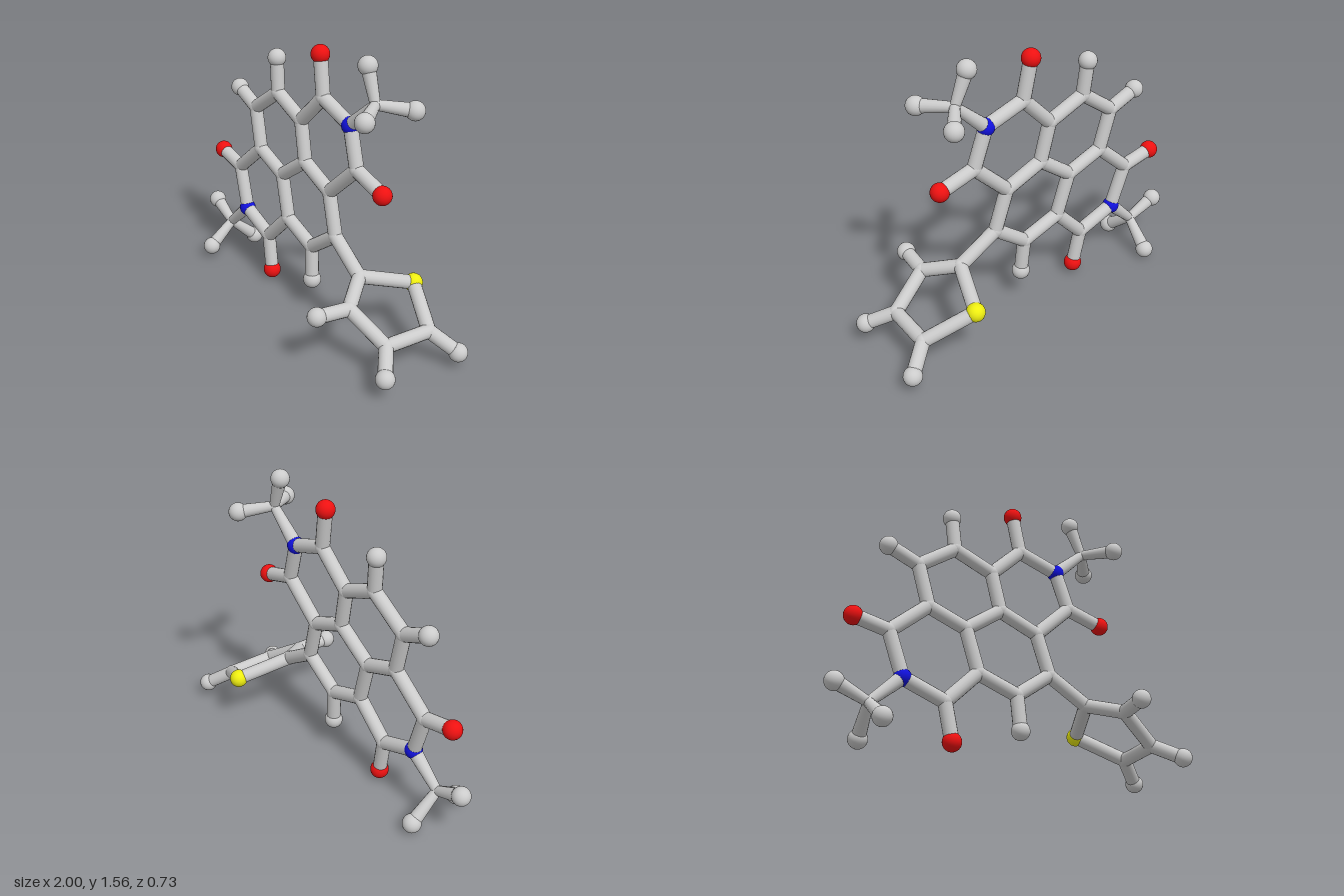
import * as THREE from 'three';

const BALL = 0.05, STICK = 0.038, THIN = 0.026;
const grey = new THREE.MeshStandardMaterial({ color: 0xcccccc });
const red = new THREE.MeshStandardMaterial({ color: 0xee1111 });
const blue = new THREE.MeshStandardMaterial({ color: 0x1111dd });
const yellow = new THREE.MeshStandardMaterial({ color: 0xeeee11 });

// Points of the flat fused rings lie on one slightly tilted plane
const flat = (x, y) => new THREE.Vector3(x, y, -0.052 + 0.041 * x - 0.044 * y);
const at = (x, y, z) => new THREE.Vector3(x, y, z);

const carbons = {
  a: flat(0.07, 1.24), b: flat(0.37, 0.95), c: flat(0.16, 0.75), d: flat(-0.06, 0.84),
  e: flat(-0.11, 1.06), f: flat(-0.33, 1.15), g: flat(-0.54, 1.0), h: flat(-0.48, 0.77),
  i: flat(-0.265, 0.69), j: flat(-0.195, 0.45), k: flat(0.03, 0.37), l: flat(0.23, 0.52),
  m: flat(-0.69, 0.585), o: flat(-0.38, 0.26),
  // side ring
  t1: at(0.45, 0.385, -0.045), t2: at(0.575, 0.32, 0.13),
  t3: at(0.79, 0.187, 0.07), t4: at(0.815, 0.18, -0.2),
};
const methyls = { p: at(0.48, 1.33, -0.087), q: at(-0.78, 0.185, -0.09) };
const nitrogens = { n1: flat(0.3, 1.165), n2: flat(-0.61, 0.345) };
const sulfurs = { s: at(0.57, 0.305, -0.32) };
const oxygens = {
  oa: flat(0.03, 1.46), ob: flat(0.575, 0.89), om: flat(-0.88, 0.625), oo: flat(-0.34, 0.055),
};
const hydrogens = {
  hf: flat(-0.35, 1.34), hg: flat(-0.71, 1.07), hk: flat(0.047, 0.175),
  hp1: at(0.41, 1.505, -0.095), hp2: at(0.6, 1.3, -0.237), hp3: at(0.59, 1.312, 0.077),
  hq1: at(-0.953, 0.263, -0.105), hq2: at(-0.76, 0.047, -0.242), hq3: at(-0.772, 0.068, 0.068),
  ht2: at(0.545, 0.33, 0.313), ht3: at(0.91, 0.11, 0.182), ht4: at(0.945, 0.083, -0.287),
};

const kinds = [
  ['carbonJoint', carbons, STICK + 0.002, grey],
  ['methylJoint', methyls, THIN + 0.003, grey],
  ['nitrogen', nitrogens, 0.047, blue],
  ['sulfur', sulfurs, BALL, yellow],
  ['oxygen', oxygens, BALL, red],
  ['hydrogen', hydrogens, BALL, grey],
];

const bonds = [
  // fused rings
  'a n1', 'n1 b', 'b c', 'c d', 'd e', 'e a', 'e f', 'f g', 'g h', 'h i', 'i d',
  'i j', 'j k', 'k l', 'l c', 'h m', 'm n2', 'n2 o', 'o j',
  // ends on the fused rings
  'a oa', 'b ob', 'm om', 'o oo', 'f hf', 'g hg', 'k hk',
  // side ring
  'l t1', 't1 t2', 't2 t3', 't3 t4', 't4 s', 's t1', 't2 ht2', 't3 ht3', 't4 ht4',
  // methyl groups
  'n1 p', 'hp1 p', 'hp2 p', 'hp3 p', 'n2 q', 'hq1 q', 'hq2 q', 'hq3 q',
];

// Stick between two points; it thins toward a methyl centre
function makeBond(from, to, endRadius) {
  const dir = to.clone().sub(from);
  const geometry = new THREE.CylinderGeometry(endRadius, STICK, dir.length(), 16);
  const mesh = new THREE.Mesh(geometry, grey);
  mesh.position.copy(from).addScaledVector(dir, 0.5);
  mesh.quaternion.setFromUnitVectors(new THREE.Vector3(0, 1, 0), dir.normalize());
  mesh.name = 'bond';
  return mesh;
}

export function createModel() {
  const model = new THREE.Group();
  model.name = 'molecule';
  const points = {};

  // Atoms
  const atoms = new THREE.Group();
  atoms.name = 'atoms';
  for (const [name, set, radius, material] of kinds) {
    const ball = new THREE.SphereGeometry(radius, 24, 16);
    for (const [key, point] of Object.entries(set)) {
      const mesh = new THREE.Mesh(ball, material);
      mesh.name = name;
      mesh.position.copy(point);
      atoms.add(mesh);
      points[key] = point;
    }
  }

  // Bonds
  const sticks = new THREE.Group();
  sticks.name = 'bonds';
  for (const bond of bonds) {
    const [from, to] = bond.split(' ');
    sticks.add(makeBond(points[from], points[to], to in methyls ? THIN : STICK));
  }

  model.add(atoms, sticks);
  return model;
}
